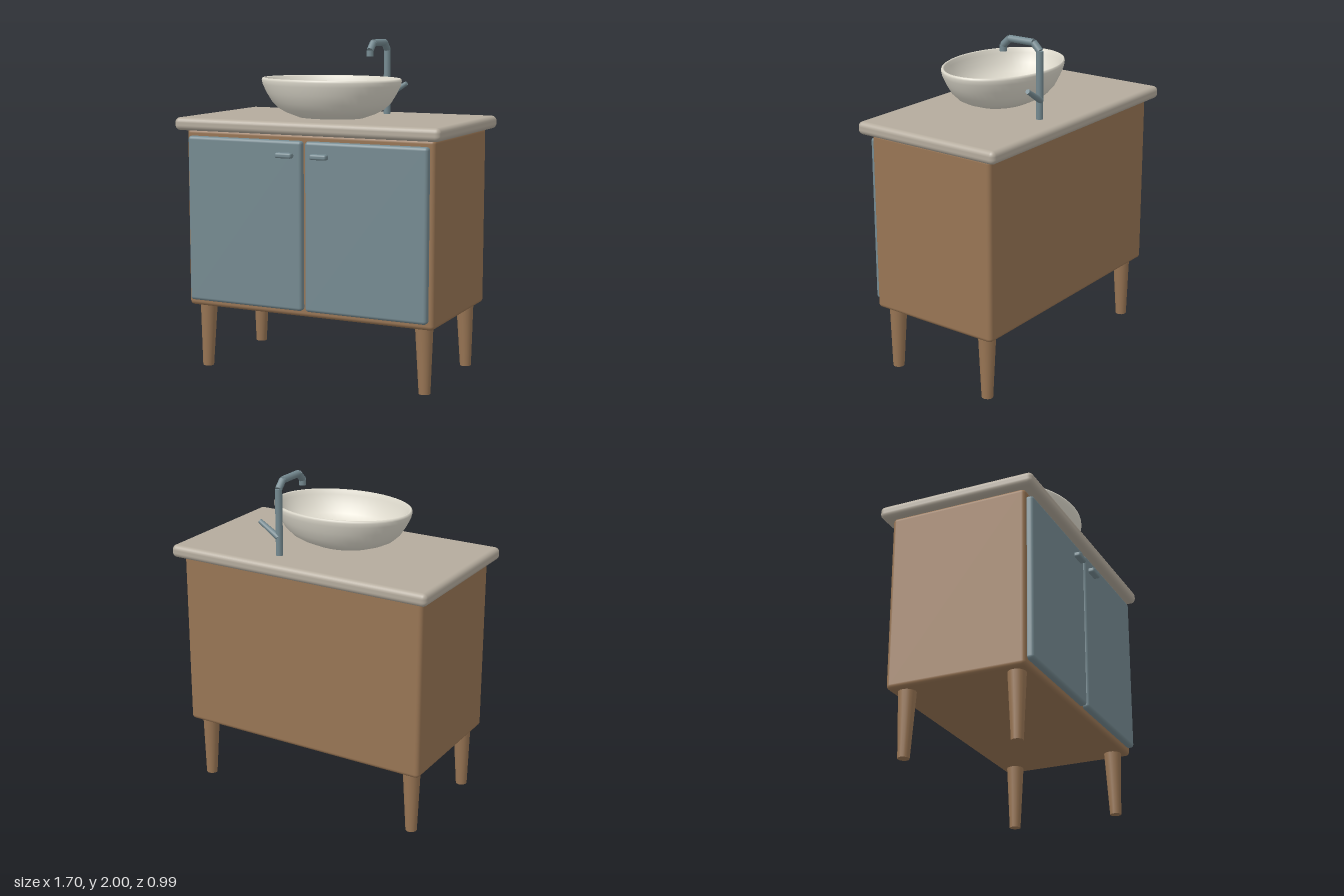
import * as THREE from 'three';
import { RoundedBoxGeometry } from 'three/addons/geometries/RoundedBoxGeometry.js';

const material = (name, color, side = THREE.FrontSide) => {
  const m = new THREE.MeshStandardMaterial({ color, side });
  m.name = name;
  return m;
};

export function createModel() {
  const wood = material('wood', 0x987554);
  const stone = material('stone', 0xb4ab9d);
  const ceramic = material('ceramic', 0xdedacd, THREE.DoubleSide);
  const blueGrey = material('blueGrey', 0x758a91);

  const model = new THREE.Group();
  model.name = 'washstand';

  const add = (name, geometry, mat, parent = model) => {
    const mesh = new THREE.Mesh(geometry, mat);
    mesh.name = name;
    parent.add(mesh);
    return mesh;
  };

  // Rounded box given by its minimum and maximum corners
  const box = (name, a, b, radius, mat) => {
    const size = a.map((v, i) => b[i] - v);
    const mesh = add(name, new RoundedBoxGeometry(...size, 3, radius), mat);
    mesh.position.set(...a.map((v, i) => (v + b[i]) / 2));
    return mesh;
  };

  // Round rod between two points, with a radius at each end
  const rod = (name, from, to, r0, r1, sides, mat, parent) => {
    const p = new THREE.Vector3(...from), q = new THREE.Vector3(...to);
    const dir = q.clone().sub(p);
    const mesh = add(name, new THREE.CylinderGeometry(r1, r0, dir.length(), sides), mat, parent);
    mesh.position.copy(p).add(q).multiplyScalar(0.5);
    mesh.quaternion.setFromUnitVectors(new THREE.Vector3(0, 1, 0), dir.normalize());
    return mesh;
  };

  // Cabinet and worktop
  box('cabinet', [-0.8, 0.39, -0.427], [0.8, 1.47, 0.42], 0.025, wood);
  box('worktop', [-0.85, 1.463, -0.49], [0.85, 1.54, 0.485], 0.03, stone);

  // Doors, pulls and splayed legs, mirrored left and right
  for (const s of [1, -1]) {
    const side = s > 0 ? 'left' : 'right';
    const door = box(side + 'Door', [0.01, 0.43, 0.405], [0.772, 1.43, 0.458], 0.02, blueGrey);
    door.position.x *= s;
    const pull = box(side + 'DoorPull', [0.058, 1.33, 0.45], [0.165, 1.362, 0.495], 0.012, blueGrey);
    pull.position.x *= s;
    for (const f of [1, -1]) {
      rod(side + (f > 0 ? 'Front' : 'Back') + 'Leg',
        [s * 0.72, 0, f * 0.339], [s * 0.712, 0.4, f * 0.334], 0.034, 0.053, 16, wood);
    }
  }

  // Oval basin: outer wall, rim and inner wall in one profile
  const basin = new THREE.Group();
  basin.name = 'basin';
  basin.position.set(0, 1.54, 0.08);
  model.add(basin);
  const profile = [
    [0, 0], [0.2, 0], [0.28, 0.028], [0.325, 0.05], [0.37, 0.09], [0.405, 0.145],
    [0.43, 0.195], [0.436, 0.22], [0.434, 0.232], [0.425, 0.236], [0.415, 0.23],
    [0.408, 0.205], [0.38, 0.15], [0.34, 0.1], [0.28, 0.062], [0.2, 0.04], [0.11, 0.03], [0, 0.028],
  ].map(([r, y]) => new THREE.Vector2(r, y));
  const bowl = add('bowl', new THREE.LatheGeometry(profile, 48), ceramic, basin);
  bowl.scale.z = 0.735;
  const drain = add('drain', new THREE.CylinderGeometry(0.037, 0.037, 0.008, 12), blueGrey, basin);
  drain.position.y = 0.032;

  // Tap: straight pipe lengths with mitred bends, and a slanting lever
  const tap = new THREE.Group();
  tap.name = 'tap';
  tap.position.set(0.19, 0, 0);
  model.add(tap);
  const path = [[1.535, -0.317], [1.935, -0.317], [1.979, -0.273], [1.979, -0.105], [1.935, -0.06], [1.9, -0.06]];
  for (let i = 0; i + 1 < path.length; i++) {
    rod('tapPipe', [0, ...path[i]], [0, ...path[i + 1]], 0.021, 0.021, 12, blueGrey, tap);
  }
  rod('tapLever', [0, 1.65, -0.325], [0.127, 1.73, -0.325], 0.019, 0.014, 12, blueGrey, tap);

  return model;
}
